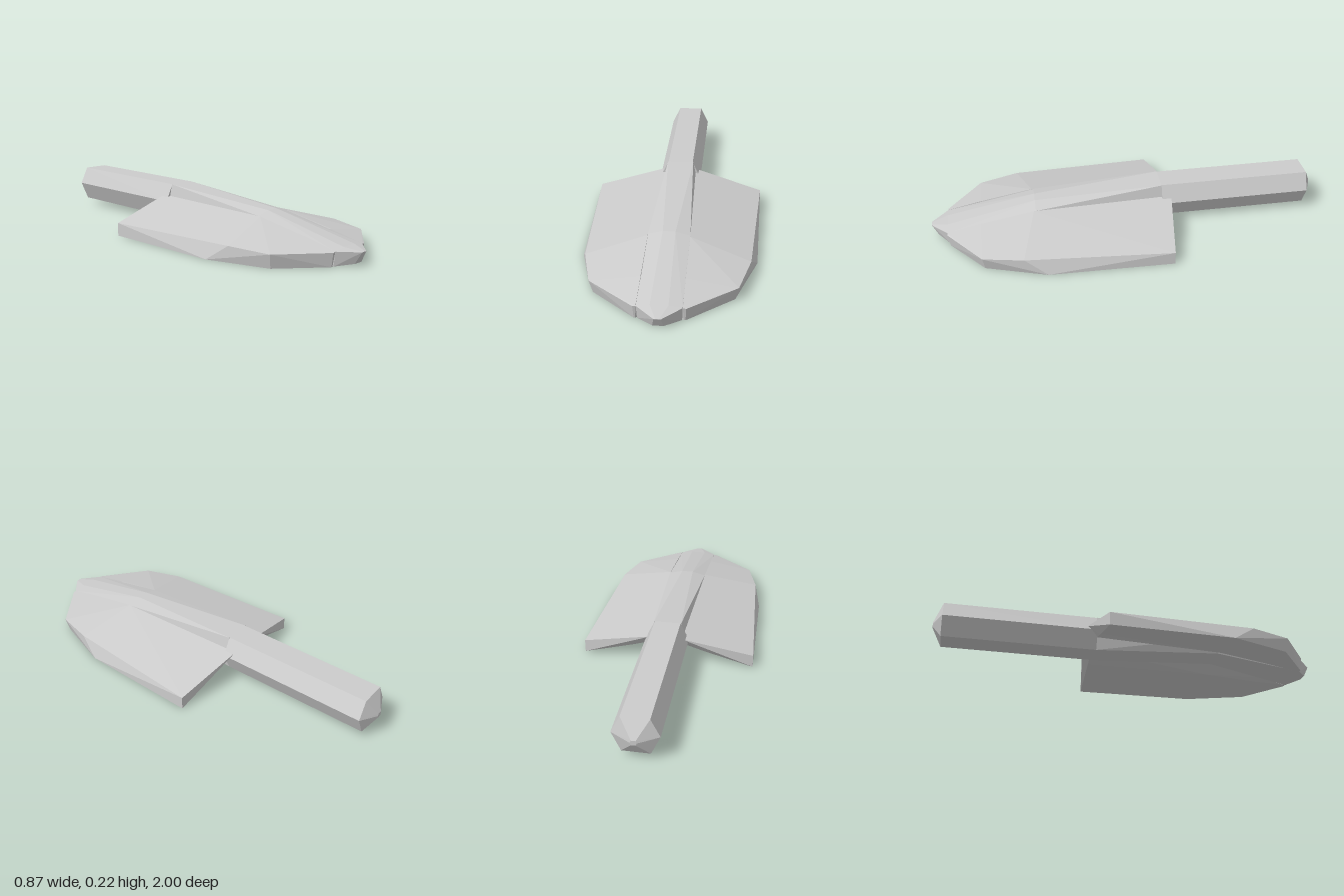
import * as THREE from 'three';

const material = new THREE.MeshStandardMaterial({ color: 0xcccccc, flatShading: true });

// True when folding the quad a, b, c, d along a-c makes a ridge rather than a valley.
function ridgeAlongAC(a, b, c, d) {
  const [pa, pb, pc, pd] = [a, b, c, d].map((p) => new THREE.Vector3(...p));
  const normal = pb.sub(pa).cross(pc.sub(pa));
  return pd.sub(pa).dot(normal) <= 0;
}

// Skin a list of cross-sections (counter-clockwise seen from +z, ordered back to front) and cap both ends.
function loft(name, rings) {
  const pos = [];
  const tri = (a, b, c) => pos.push(...a, ...b, ...c);
  const n = rings[0].length;
  for (let i = 0; i < rings.length - 1; i++) {
    for (let j = 0; j < n; j++) {
      const k = (j + 1) % n;
      const [a, b, c, d] = [rings[i][j], rings[i][k], rings[i + 1][k], rings[i + 1][j]];
      if (ridgeAlongAC(a, b, c, d)) {
        tri(a, b, c);
        tri(a, c, d);
      } else {
        tri(a, b, d);
        tri(b, c, d);
      }
    }
  }
  const first = rings[0], last = rings[rings.length - 1];
  for (let j = 1; j < n - 1; j++) {
    tri(first[0], first[j + 1], first[j]);
    tri(last[0], last[j], last[j + 1]);
  }
  const geometry = new THREE.BufferGeometry();
  geometry.setAttribute('position', new THREE.Float32BufferAttribute(pos, 3));
  geometry.computeVertexNormals();
  const mesh = new THREE.Mesh(geometry, material);
  mesh.name = name;
  return mesh;
}

// Hexagonal section: half-widths and heights of the side, top and bottom edges.
function hexagon(z, side, sideY, top, topY, bottom, bottomY, bottomZ = z) {
  return [
    [side, sideY, z], [top, topY, z], [-top, topY, z],
    [-side, sideY, z], [-bottom, bottomY, bottomZ], [bottom, bottomY, bottomZ],
  ];
}

// Wing stations: inner top, outer top, outer bottom, underside crease, inner bottom.
const wingRings = [
  [[0.08, 0.157, -0.23], [0.434, 0.066, -0.18], [0.434, 0, -0.18], [0.19, 0.066, -0.18], [0.08, 0.1, -0.18]],
  [[0.1, 0.155, 0.48], [0.388, 0.078, 0.55], [0.42, 0, 0.44], [0.145, 0.045, 0.46], [0.08, 0.085, 0.46]],
  [[0.1, 0.107, 0.75], [0.335, 0.068, 0.75], [0.32, 0, 0.74], [0.12, 0.015, 0.75], [0.09, 0.03, 0.75]],
  [[0.101, 0.07, 0.92], [0.115, 0.067, 0.92], [0.112, 0, 0.91], [0.105, 0, 0.91], [0.094, 0, 0.9]],
];

export function createModel() {
  const model = new THREE.Group();
  model.name = 'trowel';

  // Six-sided grip with a blunt pointed end
  model.add(loft('handle', [
    hexagon(-1, 0.015, 0.12, 0.01, 0.132, 0.01, 0.108),
    hexagon(-0.955, 0.108, 0.13, 0.065, 0.218, 0.065, 0.035),
    hexagon(-0.18, 0.108, 0.13, 0.065, 0.218, 0.065, 0.035),
  ]));

  // Central rib flattening into the tip of the blade
  model.add(loft('bladeSpine', [
    hexagon(-0.18, 0.085, 0.14, 0.068, 0.218, 0.065, 0.035),
    hexagon(0.47, 0.1, 0.155, 0.03, 0.173, 0.07, 0.075),
    hexagon(0.92, 0.1, 0.07, 0.04, 0.08, 0.097, 0, 0.91),
    hexagon(1, 0.015, 0.066, 0.008, 0.067, 0.025, 0.01, 0.97),
  ]));

  // Mirrored wings of the blade
  model.add(loft('leftWing', wingRings.map(([inner, ...rest]) => [inner, ...rest.reverse()])));
  model.add(loft('rightWing', wingRings.map((ring) => ring.map(([x, y, z]) => [-x, y, z]))));

  return model;
}
